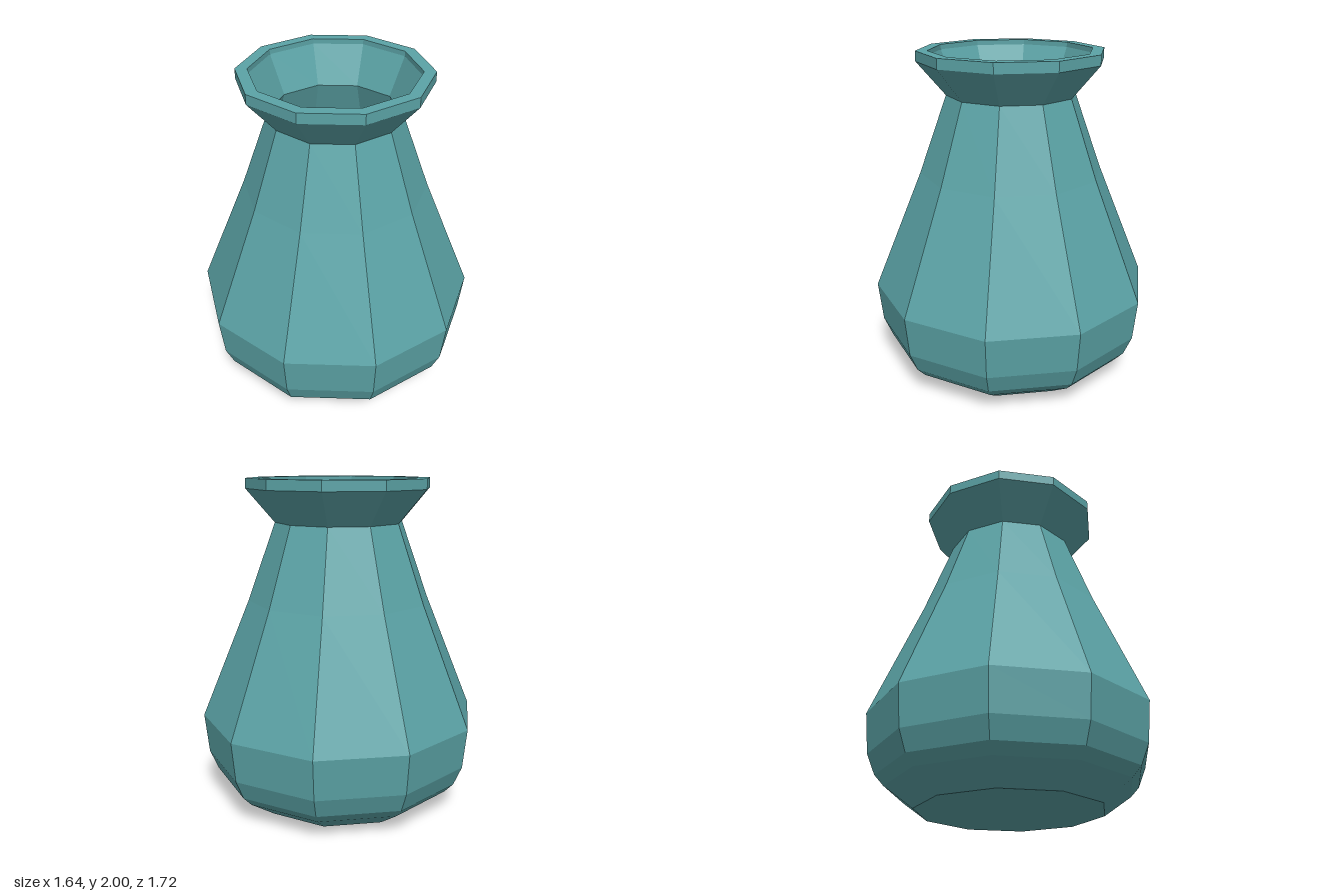
import * as THREE from 'three';

const SIDES = 10;

export function createModel() {
  const group = new THREE.Group();
  group.name = 'vase';
  const glaze = new THREE.MeshStandardMaterial({
    color: 0x5ba3a6, flatShading: true, side: THREE.DoubleSide,
  });

  // Turn a [radius, height] profile into a faceted ring with a corner facing +z
  const turned = (name, profile) => {
    const points = profile.map(([r, y]) => new THREE.Vector2(r, y));
    const mesh = new THREE.Mesh(new THREE.LatheGeometry(points, SIDES), glaze);
    mesh.name = name;
    group.add(mesh);
  };

  // Hollow belly with a flat floor, tapering up to the neck
  turned('body', [
    [0, 0], [0.56, 0], [0.73, 0.12], [0.785, 0.18], [0.835, 0.3],
    [0.86, 0.545], [0.56, 1.27], [0.39, 1.74],
  ]);

  // Flared lip: outer flare, flat rim, short inner wall and inner funnel
  turned('lip', [
    [0.39, 1.74], [0.56, 1.94], [0.56, 2], [0.49, 2], [0.49, 1.97], [0.39, 1.74],
  ]);

  return group;
}
